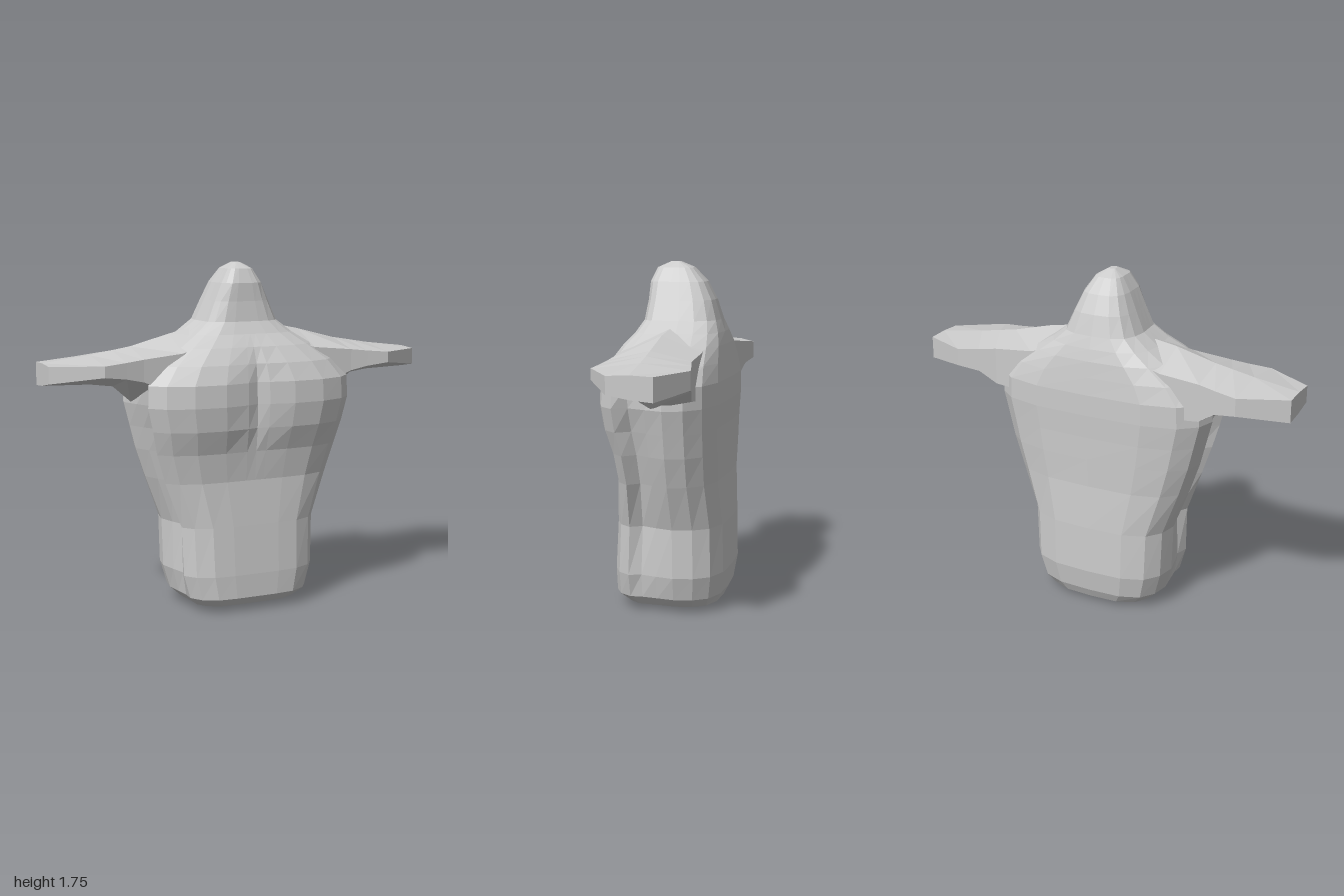
import * as THREE from 'three';

const material = new THREE.MeshStandardMaterial({ color: 0xcccccc, flatShading: true });

// Skin a list of equal-length rings of points and close both ends.
function loft(name, rings) {
  const n = rings[0].length;
  const pos = rings.flat(2);
  const index = [];
  for (let i = 0; i < rings.length - 1; i++) {
    for (let j = 0; j < n; j++) {
      const k = (j + 1) % n;
      const a = i * n + j, b = i * n + k, c = a + n, d = b + n;
      index.push(a, b, d, a, d, c);
    }
  }
  const caps = [[0, false], [rings.length - 1, true]];
  for (const [r, end] of caps) {
    const centre = pos.length / 3;
    for (let axis = 0; axis < 3; axis++) {
      pos.push(rings[r].reduce((s, p) => s + p[axis], 0) / n);
    }
    for (let j = 0; j < n; j++) {
      const a = r * n + j, b = r * n + (j + 1) % n;
      if (end) index.push(centre, a, b);
      else index.push(centre, b, a);
    }
  }
  const g = new THREE.BufferGeometry();
  g.setAttribute('position', new THREE.Float32BufferAttribute(pos, 3));
  g.setIndex(index);
  const geometry = g.toNonIndexed();
  geometry.computeVertexNormals();
  const mesh = new THREE.Mesh(geometry, material);
  mesh.name = name;
  return mesh;
}

// Horizontal body section: half outline from breastbone to spine, mirrored.
function bodyRing([y, w, front, back, cleft, groove]) {
  const half = [
    [0, 1 - cleft], [0.1, 1 - cleft * 0.5], [0.32, 1], [0.6, 0.97], [0.82, 0.83],
    [0.94, 0.62], [0.95 - groove, 0.4], [0.97 - groove * 0.4, 0.12], [1, -0.2],
    [0.95, -0.55], [0.8, -0.82], [0.5, -0.97], [0, -1],
  ].map(([u, v]) => [u * w, y, v * (v > 0 ? front : back)]);
  const mirrored = half.slice(1, -1).reverse().map(([x, h, z]) => [-x, h, z]);
  return [...half, ...mirrored];
}

// Vertical section through an arm stump.
function armRing([x, front, back, top, edge, bottomFront, bottomMid, bottomBack]) {
  return [
    [x, edge, back], [x, top, (front + back) / 2], [x, edge, front],
    [x, bottomFront, front], [x, bottomMid, (front + back) / 2], [x, bottomBack, back],
  ];
}

export function createModel() {
  const group = new THREE.Group();
  group.name = 'torso';
  const figure = new THREE.Group();
  figure.name = 'figure';
  group.add(figure);

  // Waist, chest, shoulders and hooded head: y, half width, front, back, cleft, side groove
  figure.add(loft('body', [
    [0.005, 0.18, 0.12, 0.16, 0, 0],
    [0.03, 0.29, 0.23, 0.24, 0, 0],
    [0.08, 0.345, 0.285, 0.265, 0, 0.02],
    [0.2, 0.38, 0.285, 0.285, 0, 0.06],
    [0.45, 0.388, 0.27, 0.28, 0, 0.1],
    [0.68, 0.475, 0.255, 0.265, 0, 0.12],
    [0.83, 0.525, 0.275, 0.268, 0.02, 0.12],
    [0.95, 0.555, 0.315, 0.27, 0.1, 0.11],
    [1.07, 0.585, 0.33, 0.275, 0.14, 0.08],
    [1.18, 0.58, 0.325, 0.275, 0.14, 0.04],
    [1.27, 0.5, 0.29, 0.265, 0.08, 0],
    [1.35, 0.38, 0.24, 0.255, 0.02, 0],
    [1.41, 0.28, 0.19, 0.24, 0, 0],
    [1.47, 0.2, 0.155, 0.22, 0, 0],
    [1.57, 0.155, 0.14, 0.19, 0, 0],
    [1.66, 0.115, 0.135, 0.145, 0, 0],
    [1.73, 0.07, 0.105, 0.08, 0, 0],
    [1.76, 0.02, 0.04, 0.01, 0, 0],
  ].map(bodyRing)));

  // Flat, hexagon-ended arm stumps: x, front, back, top, edge, three underside heights
  const arm = [
    [0.12, 0.15, -0.2, 1.46, 1.4, 1.12, 1.08, 1.12],
    [0.36, 0.2, -0.2, 1.41, 1.33, 1.12, 1.06, 1.1],
    [0.57, 0.205, -0.2, 1.355, 1.31, 1.2, 1.08, 1.12],
    [0.66, 0.215, -0.22, 1.34, 1.3, 1.22, 1.16, 1.18],
    [0.775, 0.23, -0.243, 1.32, 1.29, 1.235, 1.175, 1.2],
    [1.01, 0.09, -0.13, 1.29, 1.285, 1.2, 1.18, 1.17],
  ];
  figure.add(loft('leftArm', arm.map(armRing)));
  const mirrored = arm.map(([x, ...rest]) => armRing([-x, ...rest])).reverse();
  figure.add(loft('rightArm', mirrored));

  // The whole figure stands turned slightly to one side
  figure.rotation.y = THREE.MathUtils.degToRad(18);
  return group;
}
